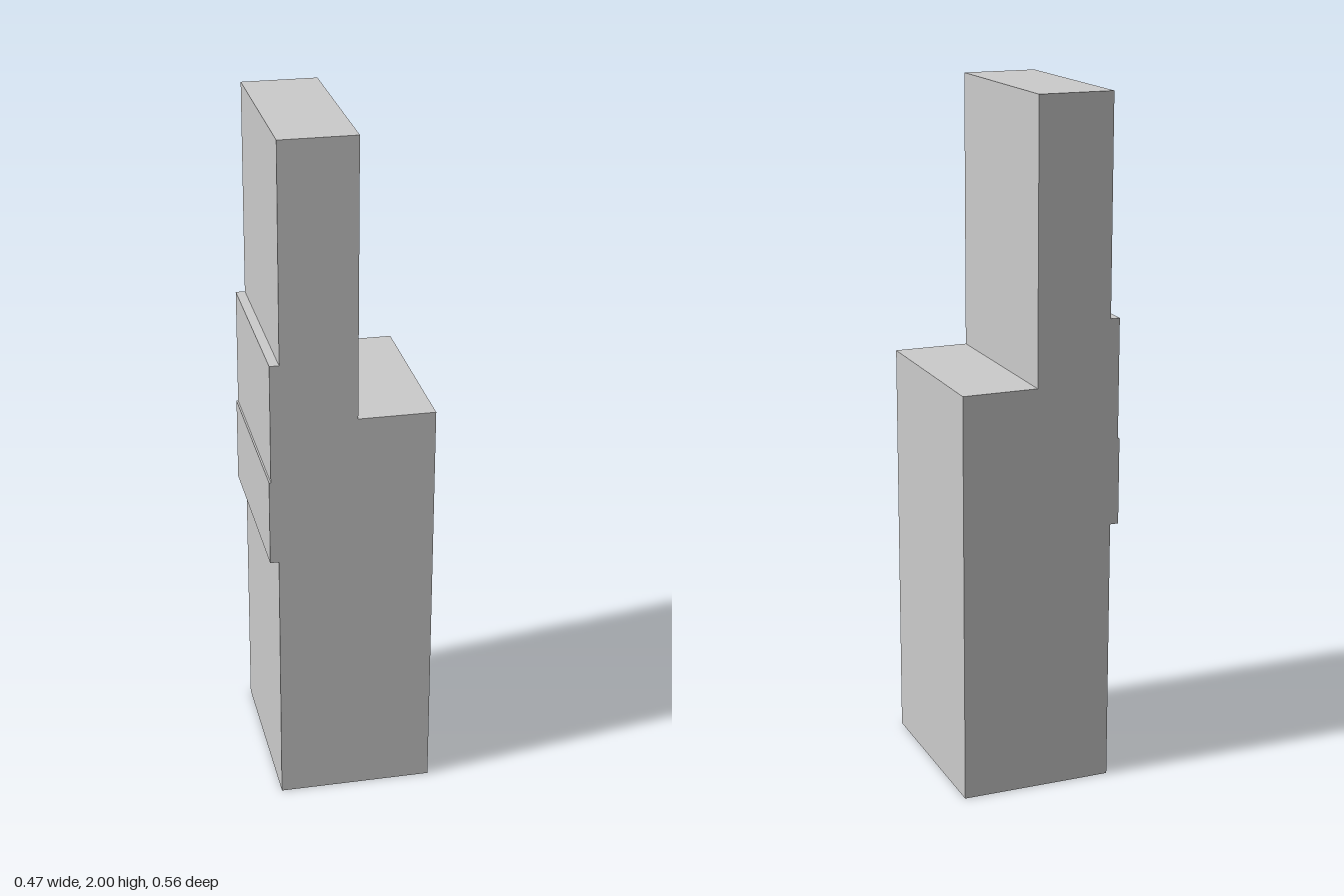
import * as THREE from 'three';

export function createModel() {
  const group = new THREE.Group();
  group.name = 'steppedTower';
  const material = new THREE.MeshStandardMaterial({ color: 0xcccccc, flatShading: true });
  const depth = 0.556;

  // Stepped outline, counter-clockwise from the lower corner
  const outline = [
    [-0.21, 0], [0.235, 0], [0.235, 1.197],       // wide base block
    [0.015, 1.197], [0.015, 2], [-0.203, 2],      // narrow upper slab
    [-0.203, 1.375], [-0.23, 1.375],              // upper side ledge
    [-0.23, 1.027], [-0.235, 1.027],              // lower side ledge
    [-0.235, 0.775], [-0.21, 0.775],
  ];
  const shape = new THREE.Shape(outline.map(([x, y]) => new THREE.Vector2(x, y)));

  // Solid tower, extruded front to back and centred on z
  const geometry = new THREE.ExtrudeGeometry(shape, { depth, bevelEnabled: false });
  geometry.translate(0, 0, -depth / 2);
  const tower = new THREE.Mesh(geometry, material);
  tower.name = 'towerBody';
  group.add(tower);

  return group;
}
